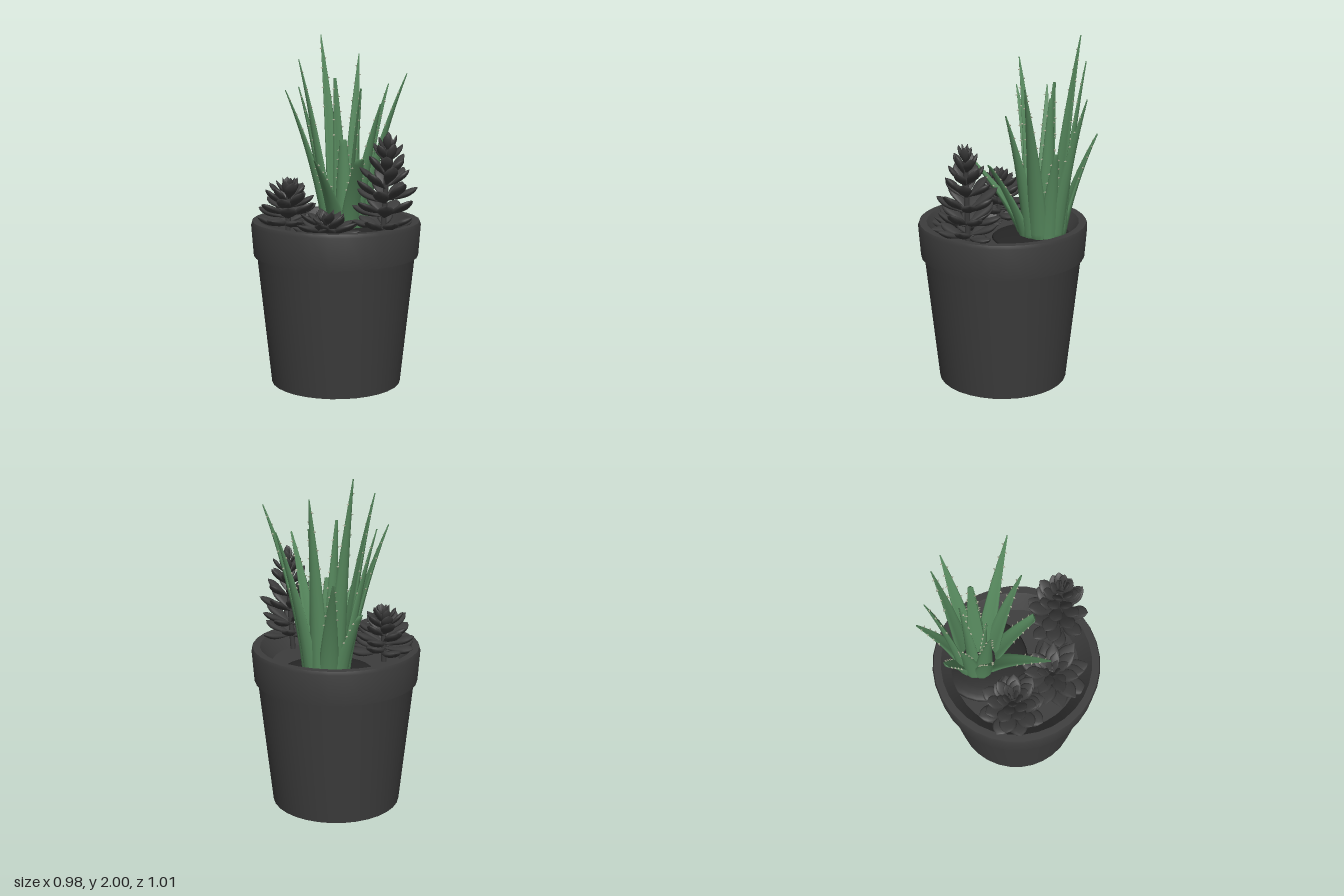
import * as THREE from 'three';
import { mergeGeometries, toCreasedNormals } from 'three/addons/utils/BufferGeometryUtils.js';

const V = (x, y, z) => new THREE.Vector3(x, y, z);
const UP = V(0, 1, 0);

function material(name, color) {
  const m = new THREE.MeshStandardMaterial({ color });
  m.name = name;
  return m;
}

function mesh(name, geometry, mat) {
  const m = new THREE.Mesh(geometry, mat);
  m.name = name;
  return m;
}

// Local axes of a leaf: side runs across the blade, normal points out of its upper face
function frame(curve, heading, t) {
  const side = new THREE.Vector3().crossVectors(UP, heading).normalize();
  const normal = new THREE.Vector3().crossVectors(curve.getTangent(t), side).normalize();
  return { p: curve.getPoint(t), side, normal };
}

// Sweeps a cupped lens section along a curve
function leafGeometry(curve, heading, width, thick, cup, rows = 10, sides = 10) {
  const pos = [], index = [];
  for (let i = 0; i <= rows; i++) {
    const t = i / rows, w = width(t), h = thick(t);
    const { p, side, normal } = frame(curve, heading, t);
    for (let j = 0; j < sides; j++) {
      const a = (j / sides) * Math.PI * 2, c = Math.cos(a);
      const q = p.clone().addScaledVector(side, w * c)
        .addScaledVector(normal, h * Math.sin(a) + cup * w * c * c);
      pos.push(q.x, q.y, q.z);
      if (i < rows) {
        const k = (j + 1) % sides, r = i * sides, s = r + sides;
        index.push(r + j, r + k, s + k, r + j, s + k, s + j);
      }
    }
  }
  // close both ends
  for (let j = 1; j < sides - 1; j++) {
    const e = rows * sides;
    index.push(0, j + 1, j, e, e + j, e + j + 1);
  }
  const g = new THREE.BufferGeometry();
  g.setAttribute('position', new THREE.Float32BufferAttribute(pos, 3));
  g.setIndex(index);
  g.computeVertexNormals();
  return g;
}

// Tall spiky plant: tip x, y, z and half width at the tip
const SPIKES = [
  [0.055, 2.0, -0.45, 0.003], [0.18, 1.45, -0.5, 0.006], [0.43, 1.71, -0.285, 0.003],
  [0.405, 1.79, 0.08, 0.003], [0.27, 1.89, -0.365, 0.003], [-0.165, 1.865, -0.17, 0.003],
  [-0.24, 1.69, -0.19, 0.003], [-0.12, 1.7, -0.33, 0.003], [-0.175, 1.32, 0.16, 0.005],
  [0.085, 1.75, -0.27, 0.01], [0.235, 1.62, 0.11, 0.005], [0.1, 1.31, 0.15, 0.026],
  [0.34, 1.4, -0.15, 0.012], [0.22, 1.69, -0.18, 0.012], [-0.01, 1.24, -0.4, 0.022],
  [0.09, 1.4, -0.13, 0.02],
];

function spikyPlant(leafMat, thornMat) {
  const plant = new THREE.Group();
  plant.name = 'spikyPlant';
  const thorns = [];
  for (const [x, y, z, tipWidth] of SPIKES) {
    const heading = V(x - 0.12, 0, z + 0.185);
    const reach = heading.length();
    heading.normalize();
    const start = Math.min(0.11, reach * 0.5);
    const base = V(0.12, 0.85, -0.185).addScaledVector(heading, start);
    const mid = base.clone().addScaledVector(heading, (reach - start) * 0.3);
    mid.y = 0.85 + (y - 0.85) * 0.5;
    const curve = new THREE.QuadraticBezierCurve3(base, mid, V(x, y, z));
    const width = t => tipWidth + (0.06 - tipWidth) * (1 - t ** 1.4);
    plant.add(mesh('spikyLeaf',
      leafGeometry(curve, heading, width, t => 0.003 + 0.021 * (1 - t), 0.35, 14, 12), leafMat));
    // small thorns along both edges
    for (const s of [-1, 1]) for (let k = 0; k < 4; k++) {
      const t = 0.58 + k * 0.1 + (s > 0 ? 0.05 : 0);
      const f = frame(curve, heading, t), w = width(t);
      const out = f.side.clone().multiplyScalar(s);
      const g = new THREE.ConeGeometry(0.006, 0.014, 5);
      g.applyQuaternion(new THREE.Quaternion().setFromUnitVectors(UP, out));
      const p = f.p.addScaledVector(out, w + 0.005).addScaledVector(f.normal, 0.35 * w);
      thorns.push(g.translate(p.x, p.y, p.z));
    }
  }
  plant.add(mesh('thorns', mergeGeometries(thorns), thornMat));
  return plant;
}

// Succulent: leaves placed ring by ring up a stem from root to crown.
// Each ring is [height, count, leaf length, elevation in degrees, half width]
function succulent(name, root, crown, rings, pointed, plump, mat) {
  const plant = new THREE.Group();
  plant.name = name;
  const line = new THREE.LineCurve3(root, crown);
  plant.add(mesh('stem', new THREE.TubeGeometry(line, 1, 0.016, 8), mat));
  const shape = pointed
    ? t => Math.max(Math.sin(Math.PI * t ** 1.25), t < 0.4 ? 0.3 : 0.03)
    : t => Math.max(Math.max(Math.sin(Math.PI * t ** 1.6), 0) ** 0.68, t < 0.4 ? 0.25 : 0.05);
  rings.forEach(([y, count, length, elevation, half], r) => {
    const centre = line.getPoint((y - root.y) / (crown.y - root.y));
    for (let i = 0; i < count; i++) {
      const a = ((i + (r % 2) * 0.5) / count) * Math.PI * 2 + r * 0.17;
      const e = THREE.MathUtils.degToRad(elevation + 7 * Math.sin(i * 2.3 + r));
      const len = length * (1 + 0.07 * Math.sin(i * 3.7 + r * 1.3));
      const heading = V(Math.sin(a), 0, Math.cos(a));
      const at = (d, lift) => centre.clone().addScaledVector(heading, 0.006 + d * Math.cos(e))
        .addScaledVector(UP, 0.012 * Math.sin(i * 2.9) + d * Math.sin(e) + lift);
      const curve = new THREE.QuadraticBezierCurve3(at(0, 0), at(len * 0.55, -0.012), at(len, 0.012));
      plant.add(mesh('leaf', leafGeometry(curve, heading, t => half * shape(t),
        t => half * plump * shape(t), 0.12), mat));
    }
  });
  return plant;
}

export function createModel() {
  const model = new THREE.Group();
  model.name = 'pottedSucculents';
  const charcoal = material('charcoal', 0x3c3c3c);
  const darkSoil = material('darkSoil', 0x262626);
  const green = material('leafGreen', 0x588b5f);
  const pale = material('thornPale', 0xa8ac94);

  // Pot with a stepped collar and a sloping inner lip
  const profile = [[0, 0], [0.376, 0], [0.456, 0.753], [0.475, 0.753], [0.489, 0.935],
    [0.482, 0.955], [0.44, 0.955], [0.432, 0.945], [0.368, 0.855]]
    .map(([r, y]) => new THREE.Vector2(r, y));
  const pot = mesh('pot', toCreasedNormals(new THREE.LatheGeometry(profile, 32), 0.5), charcoal);
  const soil = mesh('soil',
    new THREE.CircleGeometry(0.372, 32).rotateX(-Math.PI / 2).translate(0, 0.858, 0), charcoal);
  pot.position.z = soil.position.z = 0.014;

  // Low mound under the spiky plant
  const mound = mesh('mound',
    new THREE.SphereGeometry(1, 28, 6, 0, Math.PI * 2, 0, Math.PI / 2).scale(0.265, 0.03, 0.26), darkSoil);
  mound.position.set(0.105, 0.858, -0.155);

  model.add(pot, soil, mound, spikyPlant(green, pale));
  model.add(
    succulent('tallSucculent', V(0.175, 0.85, 0.31), V(0.2, 1.42, 0.335), [
      [0.95, 7, 0.175, 12, 0.044], [1.02, 7, 0.185, 20, 0.045], [1.1, 7, 0.185, 26, 0.045],
      [1.18, 6, 0.16, 34, 0.04], [1.25, 6, 0.135, 42, 0.035], [1.32, 5, 0.115, 52, 0.03],
      [1.37, 4, 0.09, 66, 0.024], [1.4, 2, 0.07, 80, 0.018],
    ], false, 0.4, charcoal),
    succulent('roundSucculent', V(-0.26, 0.85, -0.085), V(-0.255, 1.12, -0.085), [
      [0.93, 8, 0.185, 8, 0.054], [0.975, 7, 0.18, 19, 0.051], [1.02, 7, 0.155, 29, 0.043],
      [1.06, 6, 0.13, 41, 0.035], [1.09, 5, 0.1, 55, 0.026], [1.11, 4, 0.08, 72, 0.019],
    ], false, 0.37, charcoal),
    succulent('flatSucculent', V(-0.115, 0.85, 0.195), V(-0.115, 0.97, 0.195), [
      [0.89, 8, 0.22, 5, 0.056], [0.915, 7, 0.2, 12, 0.052], [0.935, 7, 0.165, 21, 0.042],
      [0.95, 6, 0.12, 33, 0.03], [0.96, 5, 0.08, 55, 0.02],
    ], true, 0.36, charcoal),
  );
  return model;
}
